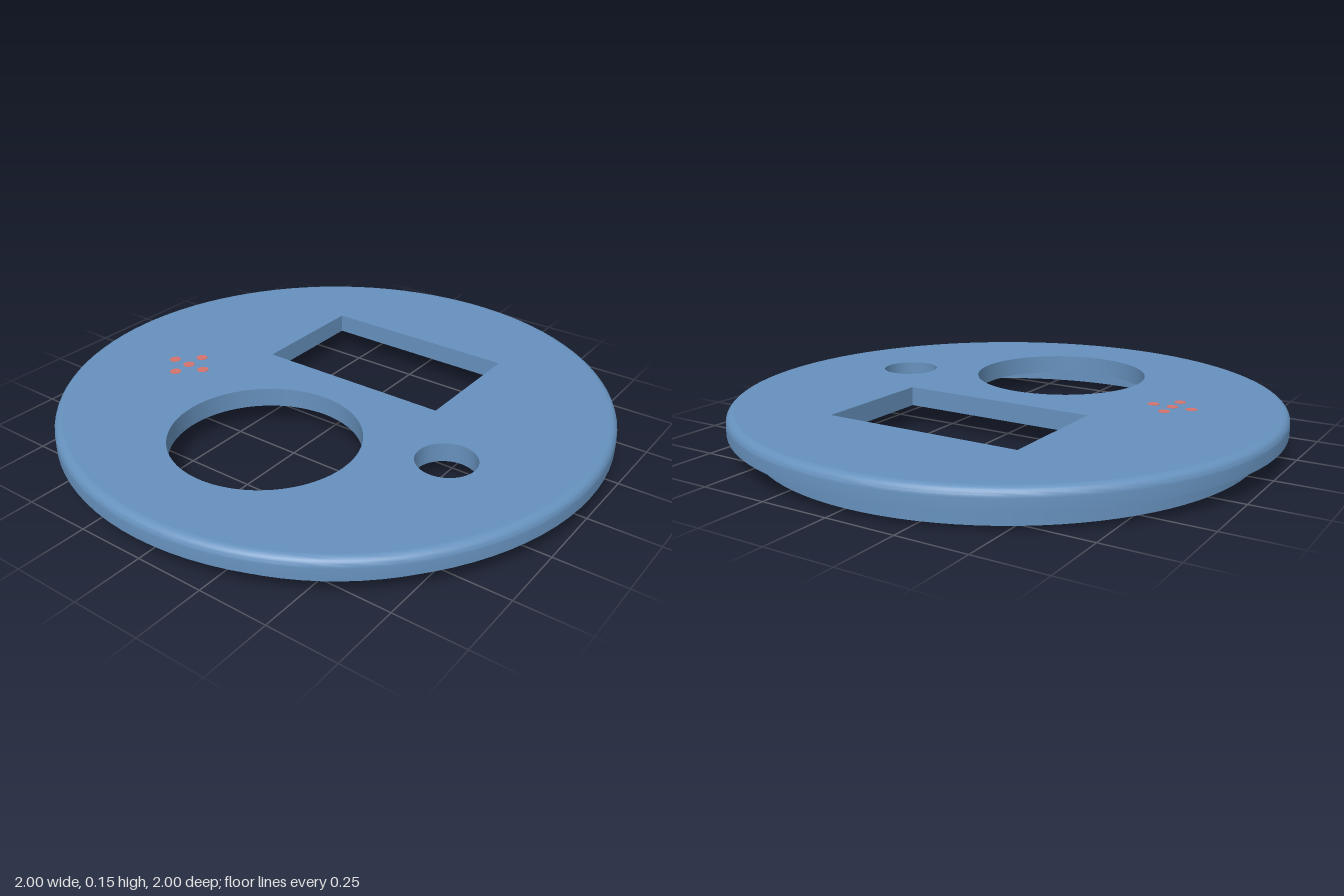
import * as THREE from 'three';
import { toCreasedNormals } from 'three/addons/utils/BufferGeometryUtils.js';

const SEGMENTS = 96;
const BASE = 0.075; // underside of the plate
const TOP = 0.145;  // upper face
const FILLET = 0.03;

function circlePath(x, z, r) {
  const path = new THREE.Path();
  path.absarc(x, -z, r, 0, Math.PI * 2, true);
  return path;
}

export function createModel() {
  const model = new THREE.Group();
  model.name = 'panelLid';

  const blue = new THREE.MeshStandardMaterial({ color: 0x6691bd });
  blue.name = 'steel blue';
  const red = new THREE.MeshStandardMaterial({ color: 0xd4736c });
  red.name = 'coral red';

  function add(name, geometry, material) {
    const mesh = new THREE.Mesh(geometry, material);
    mesh.name = name;
    model.add(mesh);
    return mesh;
  }

  function lathe(name, points) {
    const profile = points.map(([r, y]) => new THREE.Vector2(r, y));
    add(name, toCreasedNormals(new THREE.LatheGeometry(profile, SEGMENTS), 0.5), blue);
  }

  // Flat plate with a window, a large round opening and a small one
  const outline = new THREE.Shape();
  outline.absarc(0, 0, 1 - FILLET, 0, Math.PI * 2, false);
  const windowHole = new THREE.Path();
  windowHole.moveTo(-0.372, 0.086);
  windowHole.lineTo(-0.372, 0.544);
  windowHole.lineTo(0.372, 0.544);
  windowHole.lineTo(0.372, 0.086);
  windowHole.closePath();
  outline.holes.push(windowHole, circlePath(0, 0.4, 0.33), circlePath(0.572, 0.17, 0.105));
  const plate = new THREE.ExtrudeGeometry(outline, {
    depth: TOP - BASE, bevelEnabled: false, curveSegments: SEGMENTS / 2,
  });
  plate.rotateX(-Math.PI / 2).translate(0, BASE, 0);
  add('plate', toCreasedNormals(plate, 0.5), blue);

  // Outer rim with a rounded upper edge
  const rim = [[1 - FILLET, BASE], [1, BASE]];
  for (let i = 0; i <= 6; i++) {
    const a = (i / 6) * Math.PI / 2;
    rim.push([1 - FILLET + FILLET * Math.cos(a), TOP - FILLET + FILLET * Math.sin(a)]);
  }
  lathe('roundedRim', rim);

  // Locating lip underneath
  lathe('lowerLip', [[0.872, BASE], [0.872, 0], [0.912, 0], [0.912, BASE]]);

  // Cross of five small inserts, flush on both faces
  const insert = new THREE.CylinderGeometry(0.021, 0.021, TOP - BASE + 0.002, 24);
  for (const [dx, dz] of [[0, 0], [1, 0], [-1, 0], [0, 1], [0, -1]]) {
    add('dotInsert', insert, red)
      .position.set(-0.573 + dx * 0.072, (TOP + BASE) / 2, 0.17 + dz * 0.072);
  }

  return model;
}
